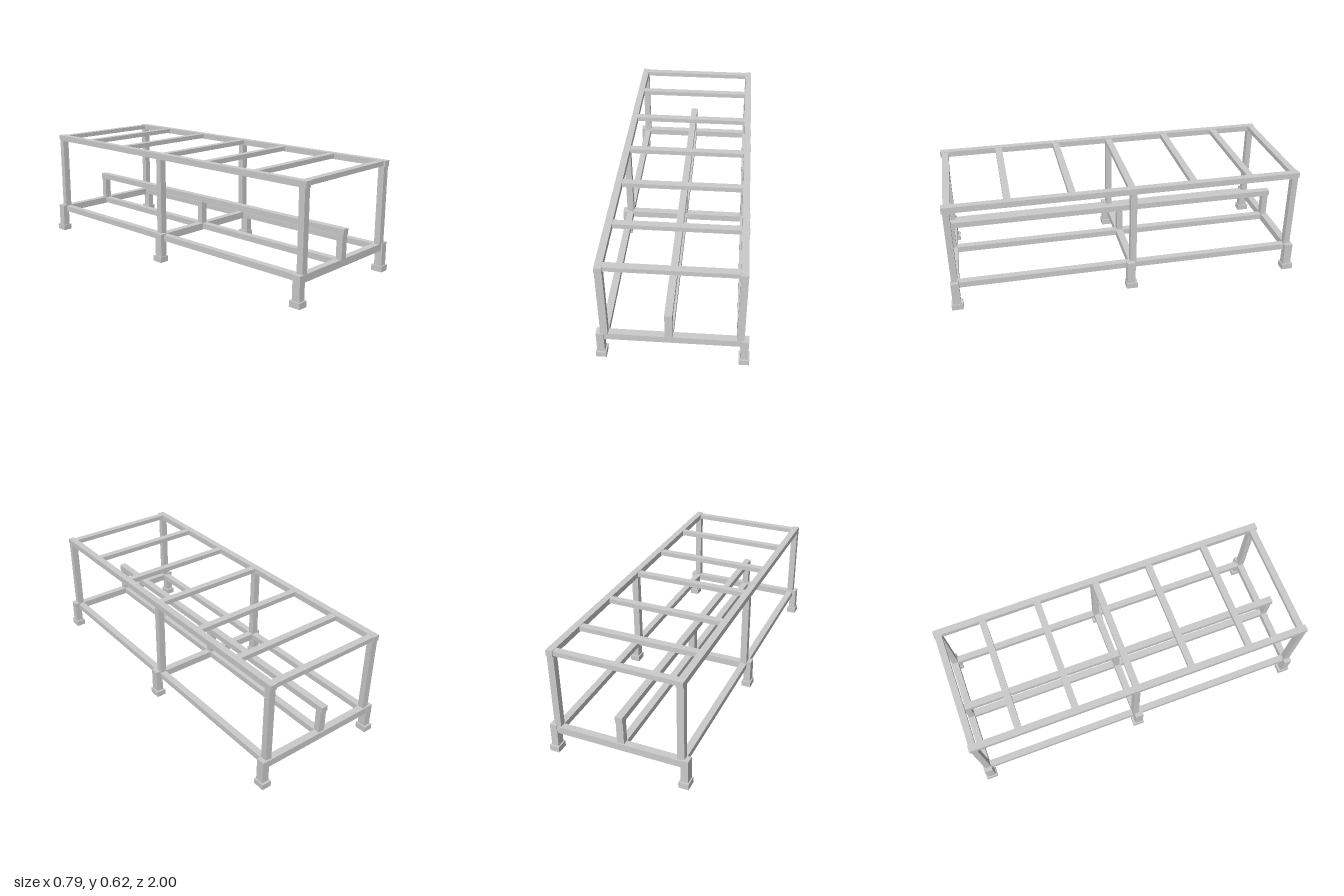
import * as THREE from 'three';

const material = new THREE.MeshStandardMaterial({ color: 0xcccccc, flatShading: true });

// Box given by its [min, max] extents on each axis
function bar(parent, name, [x0, x1], [y0, y1], [z0, z1]) {
  const mesh = new THREE.Mesh(new THREE.BoxGeometry(x1 - x0, y1 - y0, z1 - z0), material);
  mesh.position.set((x0 + x1) / 2, (y0 + y1) / 2, (z0 + z1) / 2);
  mesh.name = name;
  parent.add(mesh);
}

const mirrored = ([a, b], side) => (side > 0 ? [a, b] : [-b, -a]);

export function createModel() {
  const model = new THREE.Group();
  model.name = 'bedFrame';

  const railX = [0.328, 0.366];
  const centreX = [-0.037, 0.003];
  const railZ = [-0.984, 0.993];

  // Three supporting frames: front, middle, back
  const frames = [
    { name: 'front', foot: [0.935, 1], leg: [0.947, 0.992], post: [0.952, 0.987], beam: [0.945, 0.983] },
    { name: 'middle', foot: [-0.051, 0.014], leg: [-0.038, 0.01], post: [-0.047, -0.012], beam: [-0.045, -0.005] },
    { name: 'back', foot: [-1, -0.935], leg: [-0.988, -0.941], post: [-0.977, -0.943], beam: [-0.985, -0.945] },
  ];
  for (const f of frames) {
    const frame = new THREE.Group();
    frame.name = f.name + 'Frame';
    for (const side of [-1, 1]) {
      bar(frame, 'foot', mirrored([0.342, 0.397], side), [0, 0.033], f.foot);
      bar(frame, 'leg', mirrored([0.35, 0.39], side), [0.033, 0.165], f.leg);
      bar(frame, 'upright', mirrored(railX, side), [0.16, 0.592], f.post);
    }
    bar(frame, 'lowerCrossbeam', [-0.352, 0.352], [0.12, 0.16], f.beam);
    bar(frame, 'centrePost', centreX, [0.16, 0.29], f.post);
    model.add(frame);
  }

  // Lower lengthwise rails between neighbouring frames
  for (let i = 0; i < 2; i++) {
    const span = [frames[i + 1].beam[1], frames[i].beam[0]];
    for (const x of [mirrored(railX, -1), centreX, railX]) bar(model, 'lowerRail', x, [0.125, 0.158], span);
  }

  // Raised centre rail and top side rails
  bar(model, 'centreRail', centreX, [0.29, 0.324], railZ);
  for (const side of [-1, 1]) bar(model, 'topRail', mirrored(railX, side), [0.592, 0.625], railZ);

  // Top slats
  for (const z of [-0.96, -0.702, -0.377, -0.025, 0.302, 0.648, 0.962]) {
    bar(model, 'slat', [-0.328, 0.328], [0.597, 0.623], [z - 0.019, z + 0.019]);
  }
  return model;
}
